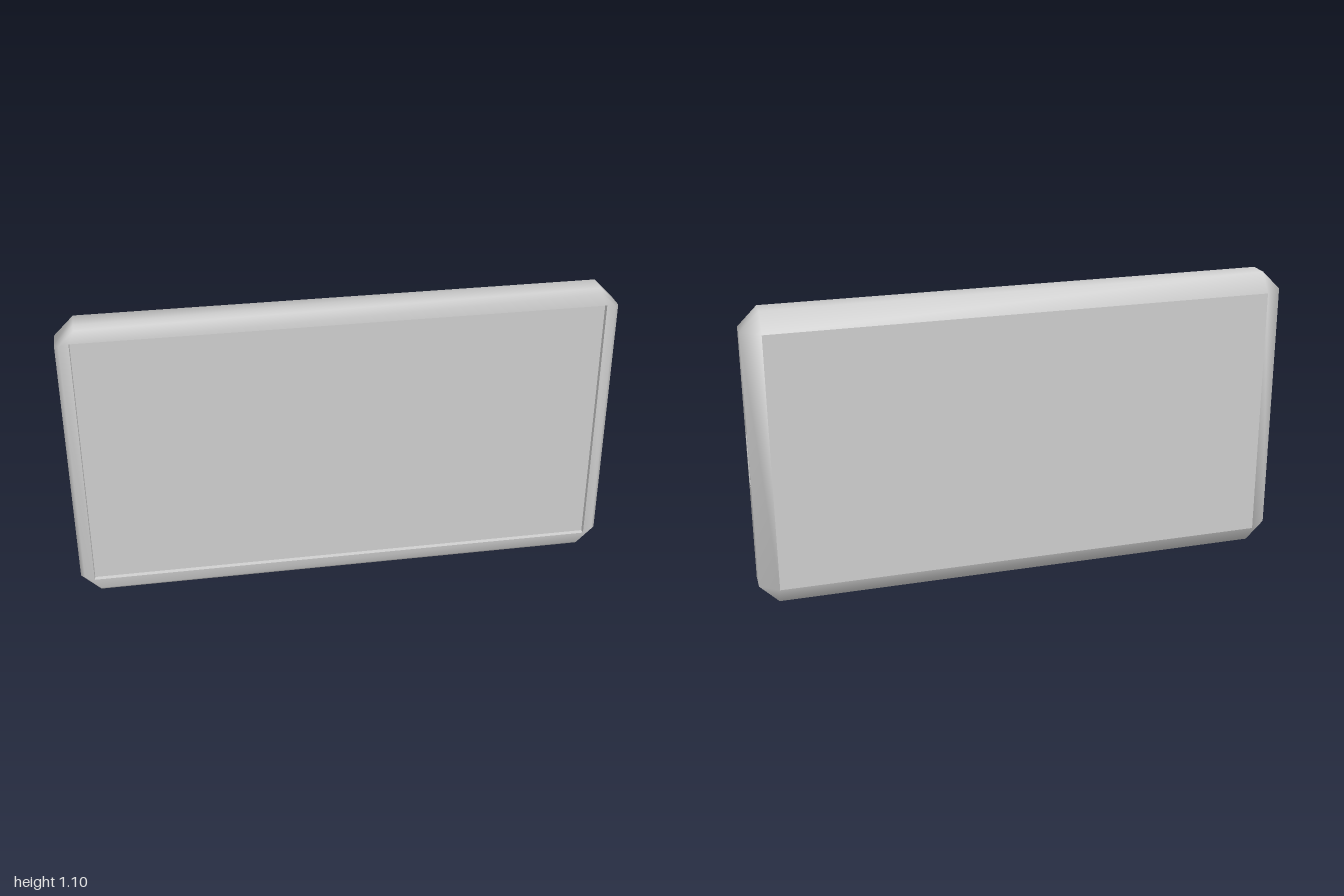
import * as THREE from 'three';
import { mergeVertices } from 'three/addons/utils/BufferGeometryUtils.js';

const HALF_H = 0.55;
const PORT = { y: 0.553, h: 0.195, z: 0.015, d: 0.042, depth: 0.04 };

// Rectangle with cut corners, counterclockwise seen from the front
function ring({ z, inX = 0, inY = inX, cut = 0 }) {
  const w = 1 - inX, h = HALF_H - inY, c = cut;
  return [[w, -h + c], [w, h - c], [w - c, h], [-w + c, h],
    [-w, h - c], [-w, -h + c], [-w + c, -h], [w - c, -h]]
    .map(([x, y]) => [x, y + HALF_H, z]);
}

// Skin stretched over rings from back to front; optional hole in one +x quad
function loft(rings, holeRow = -1, hole = []) {
  const points = [...rings.flatMap(ring), ...hole];
  const index = [];
  const quad = (a, b, c, d) => index.push(a, b, c, a, c, d);
  for (let r = 0; r < rings.length - 1; r++) {
    for (let i = 0; i < 8; i++) {
      const j = (i + 1) % 8;
      const q = [r * 8 + i, r * 8 + j, r * 8 + 8 + j, r * 8 + 8 + i];
      if (r === holeRow && i === 0) {
        const first = rings.length * 8;
        for (let k = 0; k < 4; k++) {
          const n = (k + 1) % 4;
          quad(q[k], q[n], first + n, first + k);
        }
      } else quad(...q);
    }
  }
  const geometry = new THREE.BufferGeometry();
  geometry.setAttribute('position', new THREE.Float32BufferAttribute(points.flat(), 3));
  geometry.setIndex(index);
  const merged = mergeVertices(geometry);
  merged.computeVertexNormals();
  return merged;
}

export function createModel() {
  const group = new THREE.Group();
  const grey = new THREE.MeshStandardMaterial({ color: 0xcccccc });
  const inside = new THREE.MeshStandardMaterial({ color: 0xcccccc, side: THREE.BackSide });
  const add = (name, geometry, material = grey) => {
    const mesh = new THREE.Mesh(geometry, material);
    mesh.name = name;
    group.add(mesh);
    return mesh;
  };

  // Rounded casing with a port opening in its left side
  const y0 = PORT.y - PORT.h / 2, y1 = PORT.y + PORT.h / 2;
  const z0 = PORT.z - PORT.d / 2, z1 = PORT.z + PORT.d / 2;
  add('casing', loft([
    { z: -0.075, inX: 0.07 },
    { z: -0.025, cut: 0.07 },
    { z: 0.052, cut: 0.07 },
    { z: 0.067, inX: 0.015, cut: 0.055 },
    { z: 0.075, inX: 0.05, inY: 0.06 },
  ], 1, [[1, y0, z0], [1, y1, z0], [1, y1, z1], [1, y0, z1]]));

  // Flat back panel
  const back = add('backPanel', new THREE.PlaneGeometry(1.86, 0.96));
  back.position.set(0, HALF_H, -0.075);
  back.rotation.y = Math.PI;

  // Screen sunk slightly below the rim
  const screenZ = 0.06;
  add('screenRecess', loft([
    { z: 0.075, inX: 0.05, inY: 0.06 },
    { z: screenZ, inX: 0.052, inY: 0.062 },
  ]).toNonIndexed()).geometry.computeVertexNormals();
  add('screen', new THREE.PlaneGeometry(1.896, 0.976)).position.set(0, HALF_H, screenZ);

  // Port pocket, open towards the outside, and the tongue within it
  const pocket = new THREE.BoxGeometry(PORT.depth, PORT.h, PORT.d);
  pocket.setIndex(Array.from(pocket.index.array).slice(6));
  add('portPocket', pocket, inside).position.set(1 - PORT.depth / 2, PORT.y, PORT.z);
  add('portTongue', new THREE.BoxGeometry(0.03, 0.12, 0.025))
    .position.set(0.975, PORT.y, PORT.z);

  return group;
}
